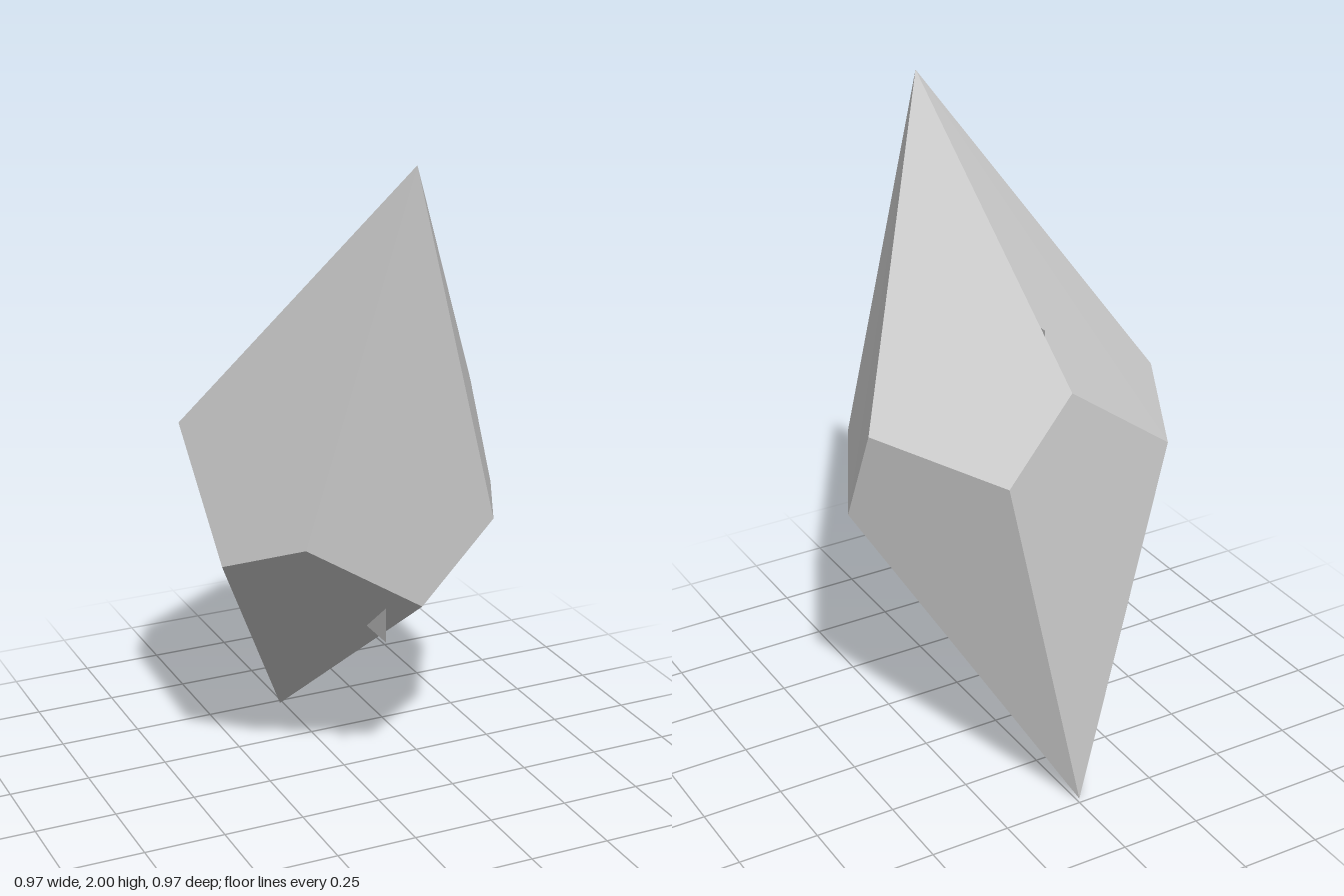
import * as THREE from 'three';

export function createModel() {
  const group = new THREE.Group();
  const TILT = -0.49; // both girdle rings lie in parallel tilted planes

  const ring = (points, height) =>
    points.map(([x, z]) => new THREE.Vector3(x, height + TILT * z, z));

  // Poles and the two staggered five-point rings
  const top = new THREE.Vector3(-0.01, 2, 0.483);
  const bottom = new THREE.Vector3(-0.01, 0, -0.483);
  const upper = ring([[-0.01, -0.405], [0.465, -0.09], [0.283, 0.41], [-0.305, 0.41], [-0.485, -0.09]], 1.126);
  const lower = ring([[0.217, -0.45], [0.483, 0.02], [0.063, 0.4], [-0.455, 0.155], [-0.362, -0.37]], 0.882);

  // Ten kite faces, each split along its long axis
  const corners = [];
  const kite = (a, b, c, d) => corners.push(a, b, c, a, c, d);
  for (let i = 0; i < 5; i++) {
    const j = (i + 1) % 5;
    kite(top, upper[j], lower[i], upper[i]);
    kite(bottom, lower[i], upper[j], lower[j]);
  }
  const crystalGeometry = new THREE.BufferGeometry().setFromPoints(corners);
  crystalGeometry.computeVertexNormals();
  const crystal = new THREE.Mesh(
    crystalGeometry,
    new THREE.MeshStandardMaterial({ color: 0xcccccc, flatShading: true })
  );
  crystal.name = 'crystalBody';
  group.add(crystal);

  // Flat upright card inside the body, two corners poking through
  const card = new THREE.Mesh(
    new THREE.PlaneGeometry(0.57, 0.905),
    new THREE.MeshStandardMaterial({ color: 0xcccccc, side: THREE.DoubleSide })
  );
  card.name = 'innerCard';
  card.rotation.y = Math.PI / 2;
  card.position.set(-0.01, 1.003, 0.027);
  group.add(card);

  return group;
}
